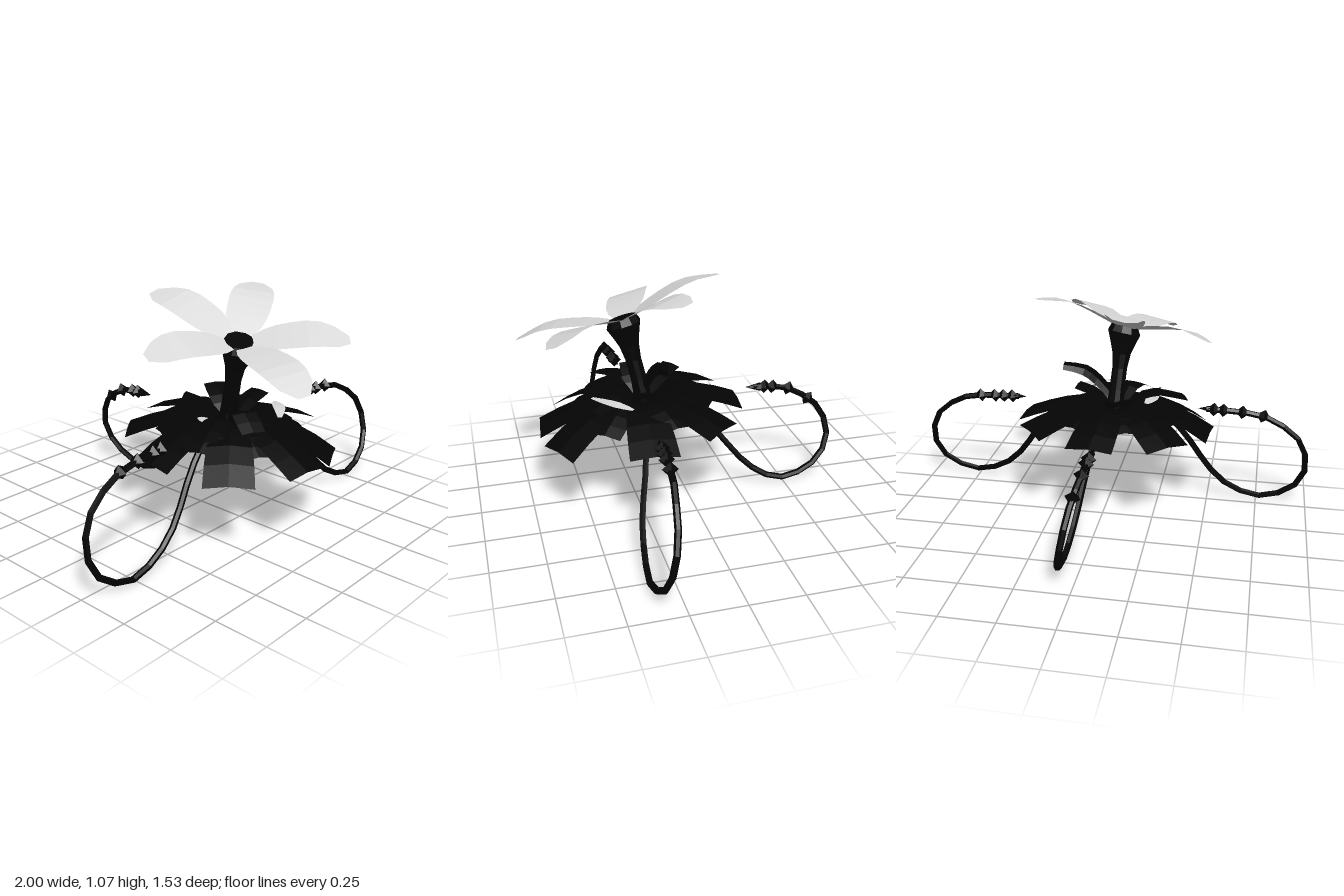
import * as THREE from 'three';

const V = (x, y, z) => new THREE.Vector3(x, y, z);
const mat = (name, color, double) => {
  const m = new THREE.MeshStandardMaterial({ color, flatShading: true });
  m.name = name;
  if (double) m.side = THREE.DoubleSide;
  return m;
};

// Thin blade swept along a spine; widths are half widths, fold lowers the edges
function bladeGeometry(spine, widths, up, fold, rows) {
  const curve = new THREE.CatmullRomCurve3(spine);
  const pos = [], idx = [];
  for (let i = 0; i <= rows; i++) {
    const t = i / rows, p = curve.getPoint(t);
    const side = V().crossVectors(curve.getTangent(t), up).normalize();
    const k = t * (widths.length - 1), a = Math.min(Math.floor(k), widths.length - 2);
    const w = THREE.MathUtils.lerp(widths[a], widths[a + 1], k - a);
    for (const s of [-1, 0, 1]) {
      const q = p.clone().addScaledVector(side, s * w).addScaledVector(up, -fold * Math.abs(s) * w);
      pos.push(q.x, q.y, q.z);
    }
    if (i < rows) for (const c of [0, 1]) {
      const b = i * 3 + c;
      idx.push(b, b + 1, b + 3, b + 1, b + 4, b + 3);
    }
  }
  const g = new THREE.BufferGeometry();
  g.setAttribute('position', new THREE.Float32BufferAttribute(pos, 3));
  g.setIndex(idx);
  g.computeVertexNormals();
  return g;
}

export function createModel() {
  const model = new THREE.Group();
  model.name = 'flowerPlant';
  const petalMat = mat('palePetal', 0xdadada, true);
  const leafMat = mat('darkLeaf', 0x040404, true);
  const stemMat = mat('darkStem', 0x030303);
  const add = (name, geo, material, parent = model) => {
    const m = new THREE.Mesh(geo, material);
    m.name = name;
    parent.add(m);
    return m;
  };

  // Flared stem, leaning forward, with a tilted top
  const profile = [[0, 0.44], [0.045, 0.46], [0.042, 0.54], [0.038, 0.6], [0.037, 0.7],
    [0.046, 0.77], [0.062, 0.82], [0.08, 0.87], [0.066, 0.902], [0, 0.902]];
  const stem = new THREE.LatheGeometry(profile.map(([r, y]) => new THREE.Vector2(r, y)), 10);
  const sp = stem.attributes.position;
  for (let i = 0; i < sp.count; i++) {
    const x = sp.getX(i), y = sp.getY(i), z = sp.getZ(i);
    const k = Math.max(0, (y - 0.55) / 0.35);
    sp.setXYZ(i, x - 0.03 - 0.03 * k, y + k * (0.2 * x - 0.28 * z), z + 0.2 + 0.08 * k);
  }
  stem.computeVertexNormals();
  add('stem', stem, stemMat);

  // Five arched petals on a tilted plane
  const flower = new THREE.Group();
  flower.name = 'flower';
  model.add(flower);
  const centre = V(-0.06, 0.895, 0.28), up = V(-0.22, 1, 0.29).normalize();
  const petalWidths = [0.05, 0.075, 0.09, 0.097, 0.101, 0.103, 0.1, 0.093, 0.075, 0.03];
  for (const tip of [V(-0.11, 1.06, -0.2), V(0.33, 1.07, 0.07), V(0.26, 0.905, 0.65),
    V(-0.22, 0.785, 0.755), V(-0.49, 0.885, 0.13)]) {
    const at = (t, lift) => centre.clone().lerp(tip, t).addScaledVector(up, lift);
    const spine = [at(0.12, 0), at(0.38, 0.025), at(0.7, 0.038), at(1, 0)];
    add('petal', bladeGeometry(spine, petalWidths, up, 0, 7), petalMat, flower);
  }

  // Square-ended leaf rosette: long drooping ring, shorter ring between, raised inner leaves
  const leaves = new THREE.Group();
  leaves.name = 'leaves';
  model.add(leaves);
  const yUp = V(0, 1, 0);
  const leaf = (angle, path, widths, fold) => {
    const dx = Math.sin(angle), dz = Math.cos(angle);
    const spine = path.map(([r, y]) => V(-0.03 + dx * r, y - 0.08 * dz * r, 0.21 + dz * r));
    add('leaf', bladeGeometry(spine, widths, yUp, fold, 5), leafMat, leaves);
  };
  // Angle from the front and tip height of each long leaf
  for (const [a, tip] of [[-0.1, 0.43], [0.47, 0.41], [1.49, 0.435], [2.26, 0.44], [3.04, 0.43],
    [3.83, 0.43], [4.61, 0.41], [5.4, 0.405]]) {
    leaf(a, [[0.03, 0.47], [0.17, 0.525], [0.32, 0.495], [0.48, tip]], [0.04, 0.085, 0.105, 0.112], 0.1);
    leaf(a + 0.39, [[0.03, 0.49], [0.14, 0.53], [0.25, 0.51], [0.34, 0.47]], [0.03, 0.07, 0.085, 0.08], 0.12);
  }
  for (const [angle, reach, mid, tip] of [[0.5, 0.28, 0.585, 0.54], [1.5, 0.2, 0.57, 0.605], [2.6, 0.24, 0.56, 0.595],
    [3.7, 0.22, 0.565, 0.6], [4.7, 0.22, 0.56, 0.605], [5.1, 0.36, 0.575, 0.54], [5.8, 0.27, 0.6, 0.555]]) {
    leaf(angle, [[0.02, 0.49], [reach * 0.5, mid], [reach, tip]], [0.02, 0.05, 0.06, 0.055], 0.1);
  }

  // Curling ribbon shoot beside the stem
  const shoot = [V(0, 0.58, 0.2), V(0.06, 0.65, 0.19), V(0.12, 0.705, 0.165), V(0.22, 0.73, 0.135)];
  add('shoot', bladeGeometry(shoot, [0.022, 0.028, 0.03, 0.022], V(0.3, 0.1, 1).normalize(), 0.5, 6), leafMat);

  // Small pale petals lying in the rosette
  for (const spine of [[V(0.2, 0.55, 0.29), V(0.13, 0.56, 0.37), V(0.03, 0.555, 0.45)],
    [V(-0.19, 0.545, 0.16), V(-0.21, 0.55, 0.22), V(-0.23, 0.545, 0.28)]]) {
    add('fallenPetal', bladeGeometry(spine, [0.01, 0.03, 0.026, 0.01], yUp, 0, 5), petalMat);
  }

  // Looping segmented vines with pointed tips and thorns
  const vine = (points, thorns) => {
    const g = new THREE.Group();
    g.name = 'vine';
    model.add(g);
    const curve = new THREE.CatmullRomCurve3(points, false, 'centripetal');
    add('vineStem', new THREE.TubeGeometry(curve, 19, 0.015, 6), stemMat, g);
    const tip = add('vineTip', new THREE.ConeGeometry(0.022, 0.08, 5), stemMat, g);
    tip.position.copy(points[points.length - 1]);
    tip.quaternion.setFromUnitVectors(yUp, curve.getTangent(1));
    for (const t of thorns) {
      const thorn = add('thorn', new THREE.OctahedronGeometry(0.036), stemMat, g);
      thorn.position.copy(curve.getPointAt(t));
      thorn.quaternion.setFromUnitVectors(yUp, curve.getTangentAt(t));
    }
  };
  // Loop profile: distance outward and height
  const loop = [[0.08, 0.48], [0.26, 0.47], [0.37, 0.36], [0.5, 0.17], [0.58, 0.09], [0.66, 0.045], [0.77, 0.02],
    [0.89, 0.06], [0.97, 0.14], [0.985, 0.26], [0.94, 0.37], [0.85, 0.445], [0.75, 0.49], [0.6, 0.505], [0.48, 0.51]];
  const leftZ = [0.22, 0.25, 0.275, 0.325, 0.34, 0.35, 0.357, 0.345, 0.325, 0.3, 0.28, 0.265, 0.25, 0.24, 0.235];
  const rightZ = [0.22, 0.25, 0.27, 0.295, 0.3, 0.305, 0.31, 0.305, 0.295, 0.275, 0.26, 0.25, 0.245, 0.24, 0.235];
  vine(loop.map(([d, y], i) => V(d, y, leftZ[i])), [0.89, 0.93, 0.955, 0.98]);
  vine(loop.map(([d, y], i) => V(-d, y, rightZ[i])), [0.85, 0.905, 0.955, 0.98]);
  vine([[0, 0.48, 0.12], [0.01, 0.46, 0.03], [0.03, 0.41, -0.07], [0.055, 0.25, -0.2], [0.07, 0.13, -0.3],
    [0.08, 0.06, -0.39], [0.085, 0.025, -0.48], [0.08, 0.055, -0.62], [0.065, 0.12, -0.705], [0.045, 0.21, -0.745],
    [0.02, 0.35, -0.71], [0.005, 0.42, -0.635], [-0.01, 0.47, -0.55], [-0.015, 0.49, -0.45], [-0.02, 0.495, -0.36],
  ].map((p) => V(...p)), [0.82, 0.89, 0.94, 0.965]);

  return model;
}
